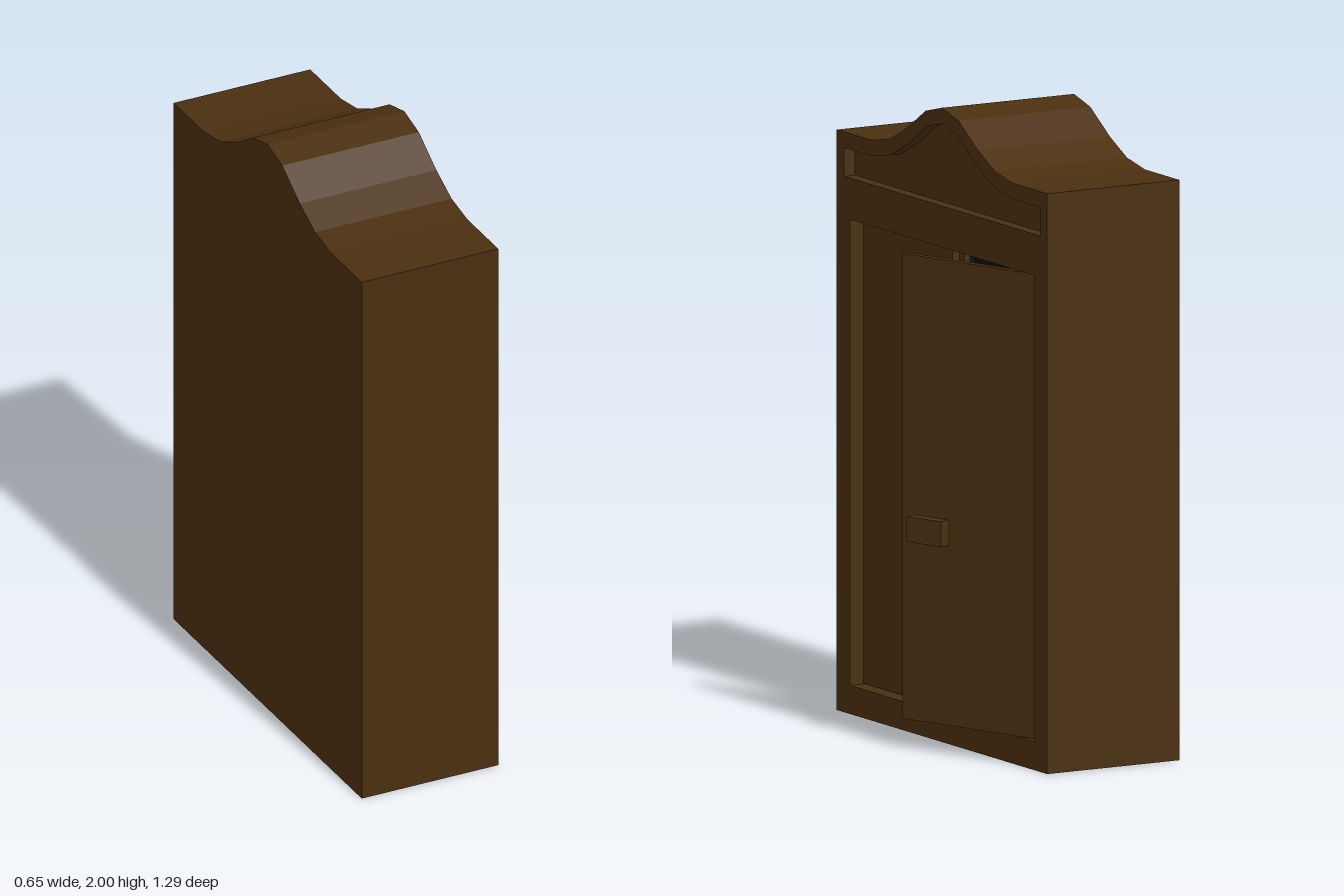
import * as THREE from 'three';

const wood = new THREE.MeshStandardMaterial({ color: 0x4b2f10 });
wood.name = 'dark wood';
const black = new THREE.MeshStandardMaterial({ color: 0x0c0c0c });
black.name = 'black lining';

// Box given by its lower and upper corners
function box(name, material, x0, x1, y0, y1, z0, z1) {
  const mesh = new THREE.Mesh(new THREE.BoxGeometry(x1 - x0, y1 - y0, z1 - z0), material);
  mesh.position.set((x0 + x1) / 2, (y0 + y1) / 2, (z0 + z1) / 2);
  mesh.name = name;
  return mesh;
}

// Closed outline with a flat base and a mirrored crest (half profile runs from the middle out)
function outline(base, half) {
  const left = half.slice(1).reverse().map(([u, y]) => [-u, y]);
  const w = half[half.length - 1][0];
  return [[w, base], ...half.slice().reverse(), ...left.reverse(), [-w, base]]
    .map(([u, y]) => new THREE.Vector2(u, y));
}

// Upright slab extruded in depth from x0 to x1, with optional openings
function slab(name, points, holes, x0, x1) {
  const shape = new THREE.Shape(points);
  shape.holes = holes.map((h) => new THREE.Path(h));
  const geometry = new THREE.ExtrudeGeometry(shape, { depth: x1 - x0, bevelEnabled: false });
  geometry.rotateY(Math.PI / 2);
  geometry.translate(x0, 0, 0);
  const mesh = new THREE.Mesh(geometry, wood);
  mesh.name = name;
  return mesh;
}

export function createModel() {
  const model = new THREE.Group();
  model.name = 'wardrobe';

  const back = -0.325, front = 0.15;
  const y0 = 0.09, y1 = 1.56, w = 0.565;
  const doorWidth = 0.545, doorThick = 0.025;

  // Cabinet: back panel, hollow carcass and front frame with a sunken pediment
  const body = outline(0, [[0, 2], [0.1, 1.975], [0.22, 1.9], [0.325, 1.85], [0.435, 1.83], [0.645, 1.83]]);
  const pediment = outline(1.69, [[0, 1.95], [0.09, 1.928], [0.21, 1.853], [0.32, 1.8], [0.44, 1.78], [0.6, 1.78]]);
  const opening = outline(y0, [[0, y1], [w, y1]]);
  model.add(
    slab('backPanel', body, [], back, -0.3),
    slab('carcass', body, [opening], -0.3, 0.11),
    slab('frontFrame', body, [opening, pediment], 0.11, front),
  );

  // Black interior lining
  const t = 0.004, lx0 = -0.3, lx1 = 0.07;
  model.add(
    box('liningBack', black, lx0, lx0 + t, y0, y1, -w, w),
    box('liningFloor', black, lx0, lx1, y0, y0 + t, -w, w),
    box('liningCeiling', black, lx0, lx1, y1 - t, y1, -w, w),
    box('liningLeft', black, lx0, lx1, y0, y1, w - t, w),
    box('liningRight', black, lx0, lx1, y0, y1, -w, -w + t),
  );

  // Door and handle, running from the hinge in direction dir along z
  function door(name, dir) {
    const group = new THREE.Group();
    group.name = name;
    const span = (a, b) => (dir > 0 ? [a, b] : [-b, -a]);
    group.add(
      box('doorPanel', wood, 0, doorThick, y0 + 0.002, y1 - 0.002, ...span(0, doorWidth)),
      box('doorHandle', wood, doorThick, doorThick + 0.038, 0.66, 0.74, ...span(doorWidth - 0.192, doorWidth - 0.051)),
    );
    model.add(group);
    return group;
  }

  // Closed door with the stop strip behind its free edge
  const closedDoor = door('closedDoor', -1);
  closedDoor.position.set(0.075, 0, w);
  closedDoor.add(box('doorStop', wood, -0.02, 0, y0 + 0.002, y1 - 0.002, -0.575, -0.515));

  // Door standing ajar
  const openDoor = door('openDoor', 1);
  openDoor.position.set(0.108, 0, -0.529);
  openDoor.rotation.y = 0.322;

  return model;
}
